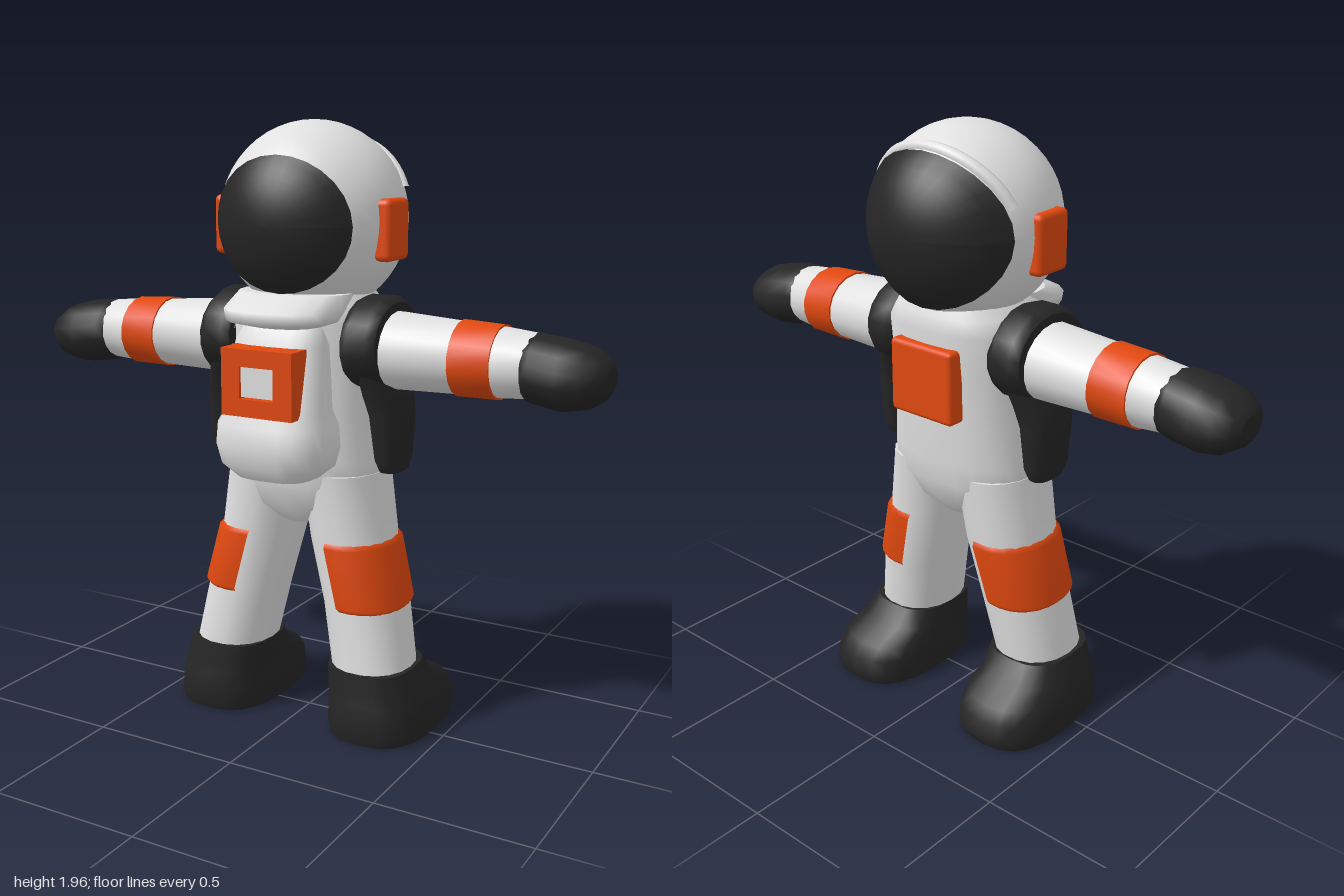
import * as THREE from 'three';
import { RoundedBoxGeometry } from 'three/addons/geometries/RoundedBoxGeometry.js';

const mat = (name, color, side = THREE.FrontSide) => {
  const m = new THREE.MeshStandardMaterial({ color, side });
  m.name = name;
  return m;
};

// Skin over rings [y, centreX, radiusX, minZ, maxZ], listed from bottom to top; p squares off the rings.
function loft(rings, { p = 2, sides = 18, arc = Math.PI * 2 } = {}) {
  const closed = arc > 6.28, cols = closed ? sides : sides + 1;
  const pos = [], idx = [];
  const bend = v => Math.sign(v) * Math.abs(v) ** (2 / p);
  const ring = ([y, cx, rx, z0, z1]) => {
    for (let j = 0; j < cols; j++) {
      const t = (j / sides - 0.5) * arc;
      pos.push(cx + rx * bend(Math.cos(t)), y, (z0 + z1) / 2 + (z1 - z0) / 2 * bend(Math.sin(t)));
    }
  };
  rings.forEach(ring);
  for (let i = 0; i < rings.length - 1; i++) {
    for (let j = 0; j < sides; j++) {
      const a = i * cols + j, b = i * cols + (j + 1) % cols;
      idx.push(a, a + cols, b + cols, a, b + cols, b);
    }
  }
  if (closed) {
    for (const [r, top] of [[rings[0], false], [rings.at(-1), true]]) {
      const start = pos.length / 3;
      ring(r);
      pos.push(r[1], r[0], (r[3] + r[4]) / 2);
      for (let j = 0; j < sides; j++) {
        const a = start + j, b = start + (j + 1) % sides;
        idx.push(start + sides, top ? b : a, top ? a : b);
      }
    }
  }
  const g = new THREE.BufferGeometry();
  g.setAttribute('position', new THREE.Float32BufferAttribute(pos, 3));
  g.setIndex(idx);
  g.computeVertexNormals();
  return g;
}

// Skin along x, rings [x, centreY, radiusY, minZ, maxZ]
const loftX = (rings, opt) =>
  loft(rings.map(([x, cy, r, z0, z1]) => [x, -cy, r, z0, z1]), opt).rotateZ(-Math.PI / 2);

// Copy of a geometry on the other side of x = 0
function mirrored(geo) {
  const g = geo.clone().scale(-1, 1, 1), ix = g.index ?? null;
  const flip = (arr, size) => {
    for (let i = 0; i < arr.length; i += 3 * size)
      for (let k = 0; k < size; k++)
        [arr[i + size + k], arr[i + 2 * size + k]] = [arr[i + 2 * size + k], arr[i + size + k]];
  };
  if (ix) flip(ix.array, 1);
  else for (const a of Object.values(g.attributes)) flip(a.array, a.itemSize);
  return g;
}

export function createModel() {
  const model = new THREE.Group();
  model.name = 'spacesuitFigure';
  const white = mat('suitWhite', 0xe0e0e0);
  const black = mat('darkRubber', 0x252525);
  const orange = mat('orangeTrim', 0xe0480f);

  const add = (name, geo, material) => {
    const m = new THREE.Mesh(geo, material);
    m.name = name;
    model.add(m);
    return m;
  };
  const pair = (name, geo, material) => {
    add('left' + name, geo, material);
    add('right' + name, mirrored(geo), material);
  };

  // Helmet shell with a dark dome panel on both faces
  const C = [0, 1.65, -0.03], R = [0.3, 0.305, 0.3];
  add('helmet', new THREE.SphereGeometry(1, 32, 24).scale(...R).translate(...C), white);
  const domeZ = (x, y, grow) =>
    (R[2] + grow) * Math.sqrt(Math.max(0, 1 - (x / (R[0] + grow)) ** 2 - (y / (R[1] + grow)) ** 2));
  const dome = (name, a, b, dy, back) => {
    const g = new THREE.RingGeometry(0, 1, 28, 10), q = g.attributes.position;
    for (let i = 0; i < q.count; i++) {
      const x = q.getX(i) * a, y = q.getY(i) * b + dy;
      q.setXYZ(i, x, y, domeZ(x, y, 0.008));
    }
    g.computeVertexNormals();
    if (back) g.rotateY(Math.PI);
    add(name, g.translate(...C), black);
  };
  dome('helmetPanel', 0.24, 0.21, -0.01, false);
  dome('visor', 0.285, 0.237, 0.003, true);

  // Raised brim over the visor
  const brim = [];
  for (let i = 0; i <= 12; i++) {
    const t = Math.PI * (0.12 + 0.76 * i / 12);
    const x = 0.283 * Math.cos(t), y = 0.245 * Math.sin(t);
    brim.push(new THREE.Vector3(x, C[1] + y, C[2] - domeZ(x, y, 0) + 0.012));
  }
  add('visorBrim', new THREE.TubeGeometry(new THREE.CatmullRomCurve3(brim), 24, 0.02, 8), white);
  pair('EarPad', new RoundedBoxGeometry(0.06, 0.19, 0.14, 2, 0.02).translate(0.288, 1.625, 0), orange);

  // Torso and hips
  add('torso', loft([
    [0.68, 0, 0.07, -0.1, 0.1],
    [0.74, 0, 0.2, -0.16, 0.155],
    [0.82, 0, 0.265, -0.19, 0.175],
    [0.9, 0, 0.265, -0.2, 0.185],
    [1.05, 0, 0.25, -0.21, 0.19],
    [1.2, 0, 0.25, -0.215, 0.19],
    [1.34, 0, 0.25, -0.23, 0.19],
    [1.39, 0, 0.22, -0.22, 0.19],
    [1.45, 0, 0.17, -0.19, 0.15],
  ], { p: 2.5, sides: 24 }), white);
  add('collarLip', loft([
    [1.33, 0, 0.13, -0.02, 0.25],
    [1.35, 0, 0.18, -0.05, 0.335],
    [1.385, 0, 0.195, -0.05, 0.325],
    [1.43, 0, 0.19, -0.05, 0.21],
  ], { p: 2.3 }), white);

  // Equipment pack, its square orange frame, and the plate on the opposite side
  add('pack', loft([
    [0.86, 0, 0.13, 0.05, 0.3],
    [0.9, 0, 0.18, 0.04, 0.33],
    [0.96, 0, 0.195, 0.04, 0.34],
    [1.03, 0, 0.19, 0.04, 0.335],
    [1.08, 0, 0.17, 0.04, 0.3],
    [1.28, 0, 0.16, 0.04, 0.255],
    [1.35, 0, 0.14, 0.04, 0.2],
  ], { p: 3, sides: 24 }), white);
  const square = (T, w, h) => {
    const s = new T();
    s.moveTo(-w, -h); s.lineTo(w, -h); s.lineTo(w, h); s.lineTo(-w, h); s.closePath();
    return s;
  };
  const frame = square(THREE.Shape, 0.125, 0.105);
  frame.holes.push(square(THREE.Path, 0.06, 0.05));
  add('packFrame', new THREE.ExtrudeGeometry(frame, { depth: 0.09, bevelEnabled: false })
    .translate(0, 1.17, 0.24), orange);
  add('packWindow', new THREE.BoxGeometry(0.12, 0.1, 0.08).translate(0, 1.175, 0.28), white);
  add('chestPlate', new RoundedBoxGeometry(0.25, 0.24, 0.07, 2, 0.015).translate(0, 1.18, -0.217), orange);

  // Shoulder rings with a pouch hanging below each
  pair('ShoulderRing', loftX([
    [0.2, 1.275, 0.14, -0.17, 0.17],
    [0.225, 1.275, 0.15, -0.185, 0.185],
    [0.29, 1.275, 0.15, -0.18, 0.18],
    [0.315, 1.27, 0.135, -0.16, 0.165],
  ]), black);
  pair('SidePouch', loft([
    [0.87, 0.305, 0.035, -0.07, 0.06],
    [0.91, 0.305, 0.045, -0.09, 0.085],
    [1.05, 0.3, 0.057, -0.1, 0.1],
    [1.12, 0.285, 0.06, -0.115, 0.12],
    [1.2, 0.265, 0.045, -0.15, 0.15],
  ], { p: 2.6 }), black);

  // Arms, built in sections so the band is its own part
  const a0 = [0.2, 1.258, 0.127, -0.145, 0.15], a1 = [0.535, 1.25, 0.112, -0.12, 0.125];
  const a2 = [0.665, 1.247, 0.108, -0.115, 0.12], a3 = [0.78, 1.245, 0.098, -0.1, 0.11];
  const fat = ([x, y, r, z0, z1]) => [x, y, r + 0.006, z0 - 0.006, z1 + 0.006];
  pair('UpperArm', loftX([a0, a1]), white);
  pair('ArmBand', loftX([a1, a2].map(fat)), orange);
  pair('Forearm', loftX([a2, a3]), white);
  pair('Glove', loftX([
    [0.755, 1.24, 0.1, -0.105, 0.115],
    [0.78, 1.24, 0.107, -0.115, 0.13],
    [0.87, 1.228, 0.108, -0.12, 0.145],
    [0.94, 1.226, 0.092, -0.115, 0.14],
    [0.985, 1.226, 0.062, -0.08, 0.1],
    [1.0, 1.226, 0.035, -0.045, 0.06],
  ], { sides: 14 }), black);

  // Legs with a knee pad wrapped round the outer half
  pair('Leg', loft([
    [0.2, 0.267, 0.132, -0.115, 0.18],
    [0.43, 0.222, 0.134, -0.145, 0.16],
    [0.64, 0.168, 0.134, -0.163, 0.155],
    [0.86, 0.135, 0.132, -0.18, 0.165],
  ], { p: 2.2 }), white);
  pair('KneePad', loft([
    [0.42, 0.225, 0.132, -0.145, 0.16],
    [0.435, 0.222, 0.145, -0.155, 0.172],
    [0.625, 0.173, 0.145, -0.172, 0.166],
    [0.64, 0.168, 0.132, -0.163, 0.155],
  ], { p: 2.2, sides: 14, arc: 3.5 }), orange);

  // Boots, toes towards the visor side
  pair('Boot', loft([
    [0, 0.288, 0.165, -0.295, 0.2],
    [0.03, 0.288, 0.172, -0.308, 0.21],
    [0.09, 0.287, 0.168, -0.3, 0.21],
    [0.13, 0.282, 0.16, -0.265, 0.2],
    [0.17, 0.275, 0.15, -0.175, 0.195],
    [0.23, 0.266, 0.14, -0.125, 0.188],
  ], { p: 2.7, sides: 20 }), black);

  return model;
}
